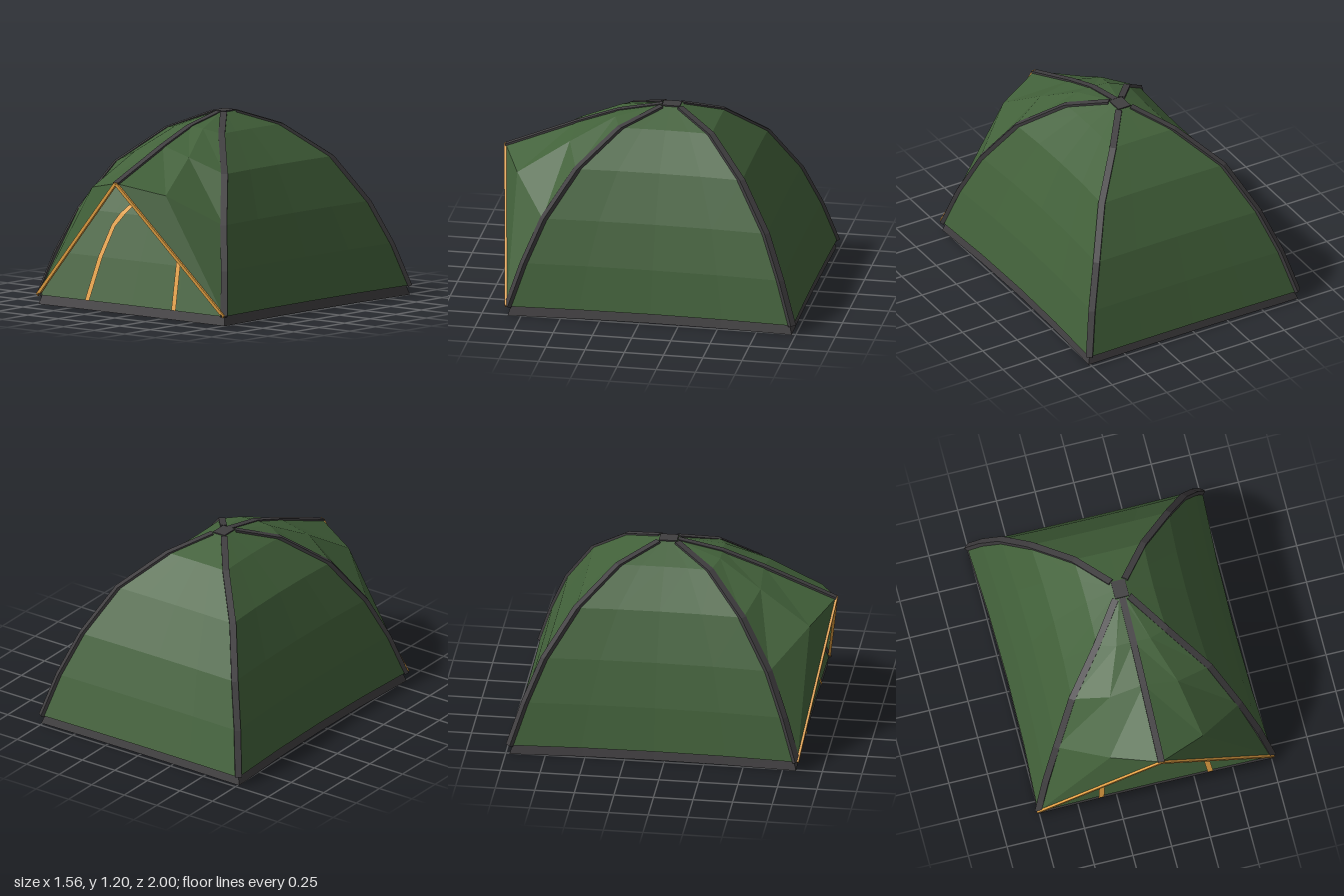
import * as THREE from 'three';

const CZ = -0.07; // z of the dome's axis
// Dome profile at the corners: [y, half width, half depth]
const LEVELS = [
  [0.06, 0.76, 0.913], [0.33, 0.69, 0.825], [0.6, 0.592, 0.715],
  [0.89, 0.445, 0.53], [1.1, 0.225, 0.295], [1.194, 0.045, 0.06],
];
const V = (x, y, z) => new THREE.Vector3(x, y, z);

// Flat-shaded geometry from a list of corner triples
function facets(tris) {
  const g = new THREE.BufferGeometry().setFromPoints(tris);
  g.computeVertexNormals();
  return g;
}
const quad = (out, a, b, c, d) => out.push(a, b, c, a, c, d);

// Rectangular loop whose sides sag slightly inward between the corners
function ring([y, hw, hd], n = 4) {
  const pts = [], sx = 0.03 * hw / 0.76, sz = 0.007 * hd / 0.913;
  for (let side = 0; side < 4; side++) {
    for (let i = 0; i < n; i++) {
      const u = -1 + 2 * i / n, sag = 1 - u * u;
      const x = hw - sx * sag, z = hd - sz * sag;
      pts.push([V(u * hw, y, CZ + z), V(x, y, CZ - u * hd),
        V(-u * hw, y, CZ - z), V(-x, y, CZ + u * hd)][side]);
    }
  }
  return pts;
}

// Walls between successive rings, with optional caps
function loft(rings, capBottom, capTop) {
  const out = [], n = rings[0].length;
  for (let r = 0; r + 1 < rings.length; r++)
    for (let i = 0; i < n; i++) {
      const j = (i + 1) % n;
      quad(out, rings[r][i], rings[r][j], rings[r + 1][j], rings[r + 1][i]);
    }
  const cap = (loop, flip) => {
    const c = V(0, loop[0].y, CZ);
    loop.forEach((p, i) => {
      const q = loop[(i + 1) % n];
      flip ? out.push(c, q, p) : out.push(c, p, q);
    });
  };
  if (capBottom) cap(rings[0], true);
  if (capTop) cap(rings[rings.length - 1], false);
  return facets(out);
}

// Rectangular bar along a path; reaches from "inner" to "outer" along its normal
function bar(path, lateral, width, outer, inner) {
  const out = [], l = lateral.clone().normalize();
  const sections = path.map((p, i) => {
    const a = path[Math.max(i - 1, 0)], b = path[Math.min(i + 1, path.length - 1)];
    const nrm = b.clone().sub(a).cross(l).normalize();
    return [[1, outer], [-1, outer], [-1, inner], [1, inner]].map(([s, h]) =>
      p.clone().addScaledVector(l, s * width / 2).addScaledVector(nrm, h));
  });
  for (let k = 0; k + 1 < sections.length; k++)
    for (let i = 0; i < 4; i++) {
      const j = (i + 1) % 4;
      quad(out, sections[k][i], sections[k][j], sections[k + 1][j], sections[k + 1][i]);
    }
  const s = sections[0], e = sections[sections.length - 1];
  quad(out, s[0], s[3], s[2], s[1]);
  quad(out, e[0], e[1], e[2], e[3]);
  return facets(out);
}

// z of the dome's front wall at a height
function frontZ(y) {
  const i = Math.max(1, LEVELS.findIndex((l) => l[0] >= y));
  const [a, b] = [LEVELS[i - 1], LEVELS[i]];
  return CZ + THREE.MathUtils.mapLinear(y, a[0], b[0], a[2], b[2]);
}

export function createModel() {
  const group = new THREE.Group();
  const mat = (name, color, side = THREE.FrontSide) => {
    const m = new THREE.MeshStandardMaterial({ color, side });
    m.name = name;
    return m;
  };
  const green = mat('green fabric', 0x42613a, THREE.DoubleSide);
  const charcoal = mat('charcoal', 0x403e40);
  const orange = mat('orange trim', 0xe3a042, THREE.DoubleSide);
  const add = (name, geometry, material) => {
    const m = new THREE.Mesh(geometry, material);
    m.name = name;
    group.add(m);
    return m;
  };

  // Groundsheet tub and dome with an underside hem
  const tubTop = [0.06, 0.742, 0.888];
  add('groundsheet', loft([ring([0, 0.76, 0.905]), ring(tubTop)], true, false), charcoal);
  add('canopy', loft([ring(tubTop), ...LEVELS.map((l) => ring(l))], false, true), green);

  // Corner poles
  const cornerPath = (sx, sz) => LEVELS.map(([y, w, d]) => V(sx * w, y, CZ + sz * d));
  for (const sx of [1, -1])
    for (const sz of [1, -1])
      add('cornerPole', bar(cornerPath(sx, sz), V(-sz * 0.913, 0, sx * 0.76), 0.042, 0.005, -0.022), charcoal);

  // Porch hood: ridge, middle and corner-pole columns, mirrored left and right
  const ridge = [V(0, 1.194, -0.01), V(0, 1.135, 0.27), V(0, 1.04, 0.53), V(0, 0.85, 0.99)];
  const middle = [V(0.022, 1.194, -0.01), V(0.11, 1.128, 0.27), V(0.22, 0.985, 0.54), V(0.3, 0.785, 0.86)];
  const edge = cornerPath(1, 1).reverse().slice(1);
  const peak = ridge[3], corner = edge[4];
  const hood = [];
  edge.unshift(V(0.045, 1.194, -0.01));
  edge.splice(1, 0);
  for (let i = 0; i < 3; i++) {
    quad(hood, ridge[i], ridge[i + 1], middle[i + 1], middle[i]);
    quad(hood, middle[i], middle[i + 1], edge[i + 1], edge[i]);
  }
  hood.push(peak, corner, middle[3], middle[3], corner, edge[3], edge[3], corner, edge[4]);
  const mirrored = [];
  for (let i = 0; i < hood.length; i += 3)
    for (const k of [0, 2, 1]) mirrored.push(V(-hood[i + k].x, hood[i + k].y, hood[i + k].z));
  add('hoodLeft', facets(hood), green);
  add('hoodRight', facets(mirrored), green);

  // Ridge pole and the cap where the poles meet
  add('ridgePole', bar([...ridge].reverse(), V(-1, 0, 0), 0.042, 0.005, -0.015), charcoal);
  add('poleHub', new THREE.BoxGeometry(0.09, 0.014, 0.115), charcoal).position.set(0, 1.194, CZ);

  // Orange piping along the hood's open edges
  for (const s of [1, -1])
    add('hoodTrim', bar([V(s * corner.x, corner.y, corner.z), peak], V(0, 0, 1), 0.018, 0.01, -0.01), orange);

  // Door arch lying on the front wall: [outer x, outer y, inner x, inner y]
  const half = [
    [0.37, 0.062, 0.335, 0.062], [0.335, 0.33, 0.3, 0.33], [0.292, 0.53, 0.26, 0.52],
    [0.25, 0.6, 0.205, 0.6], [0.18, 0.68, 0.17, 0.645], [0.055, 0.763, 0.055, 0.73],
  ];
  const arch = [...half, ...half.map(([a, b, c, d]) => [-a, b, -c, d]).reverse()]
    .map(([a, b, c, d]) => [V(a, b, frontZ(b) + 0.006), V(c, d, frontZ(d) + 0.006)]);
  const strip = [];
  for (let i = 0; i + 1 < arch.length; i++)
    quad(strip, arch[i][0], arch[i + 1][0], arch[i + 1][1], arch[i][1]);
  add('doorArch', facets(strip), orange);

  return group;
}
